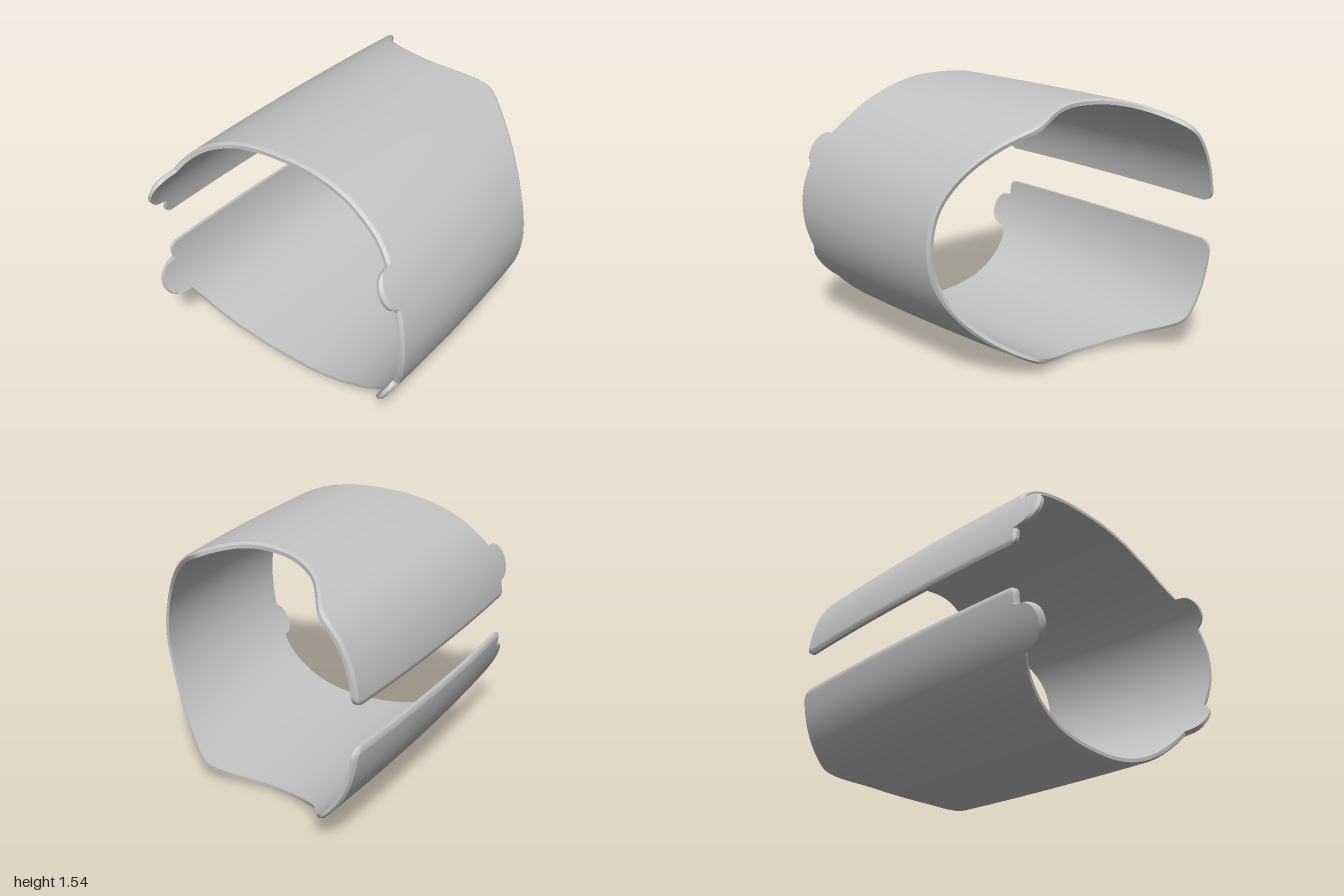
import * as THREE from 'three';

const B = 0.77, GAP = 0.125, WALL = 0.032, LIP = 0.011, LIP_WIDTH = 0.02;
const STEPS = 480, COLS = 12;

// End trims: [z, x] along the section
const LEFT_TRIM = [[-0.9, -0.87], [-0.815, -0.85], [-0.73, -0.795], [-0.6, -0.76], [-0.4, -0.73], [-0.2, -0.72],
  [0, -0.717], [0.2, -0.72], [0.4, -0.73], [0.6, -0.765], [0.7, -0.81], [0.74, -0.845], [0.83, -0.895], [0.89, -0.935]];
const RIGHT_TRIM = [[-0.57, 1], [-0.54, 0.98], [-0.486, 0.89], [-0.41, 0.78], [-0.35, 0.733], [-0.27, 0.685],
  [-0.19, 0.652], [-0.107, 0.63], [-0.03, 0.616], [0.04, 0.613], [0.12, 0.622], [0.2, 0.64], [0.32, 0.68],
  [0.39, 0.692], [0.45, 0.655], [0.82, 0.375], [0.87, 0.35]];

function lookup(table, z) {
  if (z <= table[0][0]) return table[0][1];
  for (let i = 1; i < table.length; i++) {
    const [z0, x0] = table[i - 1], [z1, x1] = table[i];
    if (z <= z1) return x0 + (x1 - x0) * (z - z0) / (z1 - z0);
  }
  return table[table.length - 1][1];
}

// Averages the trim over a small window to round its corners
function trim(table, z) {
  let sum = 0;
  for (let k = -4; k <= 4; k++) sum += lookup(table, z + k * 0.008);
  return sum / 9;
}

// Section: ellipse at the front, squarer and tapering along x at the back
function section(t, x) {
  const c = Math.cos(t), s = Math.sin(t);
  const front = c >= 0, n = front ? 2 : 2.5;
  const a = front ? 0.89 - 0.05 * (x + 0.25) ** 2 : 0.866 - 0.067 * x - 0.032 * x * x;
  const b = B - 0.007 * (x + 0.6) ** 2;
  const z = Math.sign(c) * a * Math.abs(c) ** (2 / n);
  const y = Math.sign(s) * b * Math.abs(s) ** (2 / n);
  const nz = Math.sign(z) * Math.abs(z) ** (n - 1) / a ** n;
  const ny = Math.sign(y) * Math.abs(y) ** (n - 1) / b ** n;
  const len = Math.hypot(nz, ny);
  return { z, y, nz: nz / len, ny: ny / len };
}

// Distance from the edge of the rear slot
const slotDistance = (p) => (p.z < 0 ? Math.max(0, Math.abs(p.y) - GAP) : 1);
const cornerCut = (e, r) => (e < r ? r - Math.sqrt(r * r - (r - e) ** 2) : 0);

function rightEnd(t) {
  let x = 0.7;
  for (let i = 0; i < 8; i++) x = trim(RIGHT_TRIM, section(t, x).z);
  return x - cornerCut(slotDistance(section(t, x)), 0.06);
}

// Left end with four rounded tabs
function leftEnd(t) {
  let x = -0.8;
  for (let i = 0; i < 8; i++) x = trim(LEFT_TRIM, section(t, x).z);
  const p = section(t, x);
  x += cornerCut(slotDistance(p), 0.04);
  const [cx, cy, r] = p.z > 0 ? [-0.845, 0.36, 0.1] : [-0.89, 0.34, 0.11];
  const dy = Math.abs(p.y) - cy;
  return Math.abs(dy) < r ? Math.min(x, cx - Math.sqrt(r * r - dy * dy)) : x;
}

function point(t, x, depth, lip) {
  const p = section(t, x);
  const e = slotDistance(p);
  const d = lip && e < LIP_WIDTH ? Math.max(depth, LIP * (1 - e / LIP_WIDTH)) : depth;
  return [x, B + p.y - p.ny * d, p.z - p.nz * d];
}

// Surface through rows of points
function sheet(rows) {
  const w = rows[0].length, index = [];
  for (let i = 0; i < rows.length - 1; i++) {
    for (let k = 0; k < w - 1; k++) {
      const a = i * w + k;
      index.push(a, a + 1, a + w, a + 1, a + w + 1, a + w);
    }
  }
  const g = new THREE.BufferGeometry();
  g.setAttribute('position', new THREE.Float32BufferAttribute(rows.flat(2), 3));
  g.setIndex(index);
  g.computeVertexNormals();
  return g;
}

export function createModel() {
  const group = new THREE.Group();
  group.name = 'cuff';
  const grey = new THREE.MeshStandardMaterial({ color: 0xc4c4c4, side: THREE.DoubleSide });
  grey.name = 'grey';

  const outer = [], inner = [], leftLip = [], rightLip = [], leftRim = [], rightRim = [];
  const end = Math.PI - Math.asin((GAP / B) ** 1.25);
  const angle = (i) => -end + 2 * end * i / STEPS;
  for (let i = 0; i <= STEPS; i++) {
    const t = angle(i);
    const xl = leftEnd(t), xr = rightEnd(t);
    const l = xl + LIP_WIDTH, r = xr - LIP_WIDTH;
    const face = [], back = [];
    for (let k = 0; k <= COLS; k++) {
      const f = k / COLS;
      face.push(point(t, l + (r - l) * f, 0, true));
      back.push(point(t, xr + (xl - xr) * f, WALL, false));
    }
    outer.push(face);
    inner.push(back);
    const edgeL = point(t, xl, LIP, true), edgeR = point(t, xr, LIP, true);
    leftLip.push([edgeL, face[0]]);
    rightLip.push([face[COLS], edgeR]);
    leftRim.push([back[COLS], edgeL]);
    rightRim.push([edgeR, back[0]]);
  }

  // Flat walls along the rear slot
  const slotWall = (i) => {
    const out = [leftLip[i][0], ...outer[i], rightLip[i][1]];
    const inn = out.map(([x]) => point(angle(i), x, WALL, false));
    return sheet(i === 0 ? [inn, out] : [out, inn]);
  };

  const parts = {
    outerShell: sheet(outer), innerShell: sheet(inner),
    leftBevel: sheet(leftLip), rightBevel: sheet(rightLip),
    leftRim: sheet(leftRim), rightRim: sheet(rightRim),
    lowerSlotWall: slotWall(0), upperSlotWall: slotWall(STEPS),
  };
  for (const [name, geometry] of Object.entries(parts)) {
    const mesh = new THREE.Mesh(geometry, grey);
    mesh.name = name;
    group.add(mesh);
  }
  return group;
}
